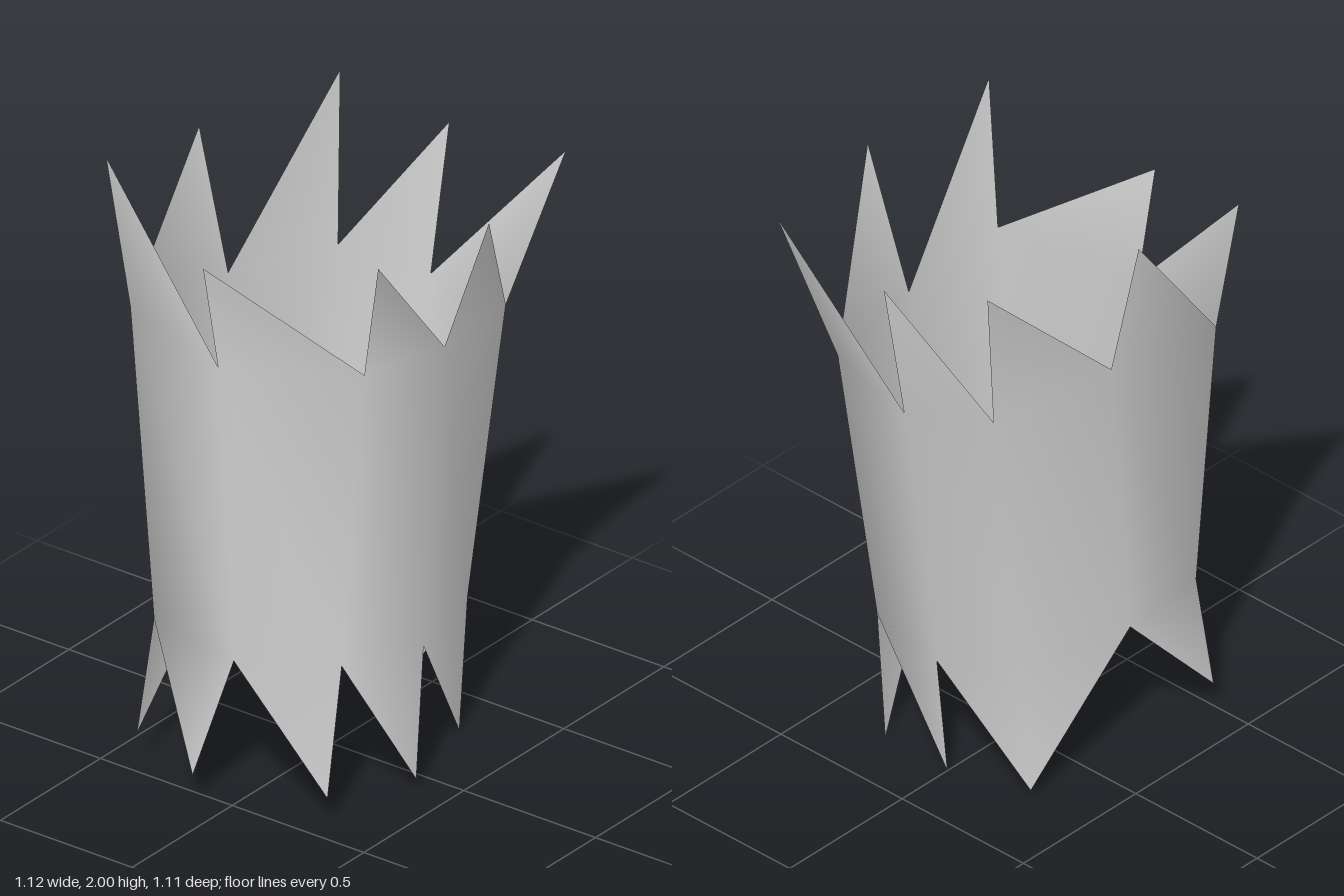
import * as THREE from 'three';

// Eight columns run round the tube; each has a lower and an upper rim point
const lowerRim = [
  [-0.38, 0.53, 0.325], [-0.05, 0.48, 0.385], [0.315, 0.46, 0.275], [0.335, 0.42, 0.01],
  [0.25, 0.46, -0.245], [-0.11, 0.5, -0.375], [-0.43, 0.5, -0.35], [-0.505, 0.5, 0.01],
];
const upperRim = [
  [-0.32, 1.515, 0.365], [0.055, 1.46, 0.385], [0.42, 1.435, 0.34], [0.48, 1.41, 0.01],
  [0.385, 1.46, -0.27], [-0.02, 1.5, -0.38], [-0.39, 1.51, -0.47], [-0.465, 1.46, -0.08],
];
// Spike tips, one above each column
const upperTips = [
  [-0.415, 1.96, 0.49], [0.06, 1.935, 0.55], [0.55, 1.95, 0.47], [0.56, 1.9, 0.02],
  [0.485, 1.995, -0.338], [-0.04, 1.98, -0.475], [-0.4, 2, -0.555], [-0.54, 1.83, -0.08],
];
// Spike tips below each column; column 5 shares the tip of column 4
const lowerTips = [
  [-0.425, 0.09, 0.305], [-0.08, 0.035, 0.38], [0.3, 0, 0.255], [0.32, 0.02, -0.02],
  [0.23, 0.025, -0.28], null, [-0.47, 0.11, -0.385], [-0.56, 0.095, -0.105],
];

function jaggedTube() {
  const n = lowerRim.length;
  const points = [...lowerRim, ...upperRim, ...upperTips, ...lowerTips.map((p, i) => p ?? lowerTips[i - 1])];
  const index = [];
  for (let i = 0; i < n; i++) {
    const j = (i + 1) % n;
    const low = i, lowNext = j, up = n + i, upNext = n + j;
    // wall panel
    index.push(low, lowNext, up, lowNext, upNext, up);
    // upper spike, steep over this column and sloping to the next
    index.push(up, upNext, 2 * n + i);
    // lower spike, sloping from this column and steep under the next
    const tip = lowerTips[j] ? j : j - 1;
    index.push(low, 3 * n + tip, lowNext);
  }
  const geometry = new THREE.BufferGeometry();
  geometry.setAttribute('position', new THREE.Float32BufferAttribute(points.flat(), 3));
  geometry.setIndex(index);
  geometry.computeVertexNormals();
  return geometry;
}

export function createModel() {
  const group = new THREE.Group();
  group.name = 'brokenHollowTrunk';
  const material = new THREE.MeshStandardMaterial({ color: 0xcccccc, side: THREE.DoubleSide });
  material.name = 'paleGrey';
  const shell = new THREE.Mesh(jaggedTube(), material);
  shell.name = 'jaggedShell';
  group.add(shell);
  return group;
}
